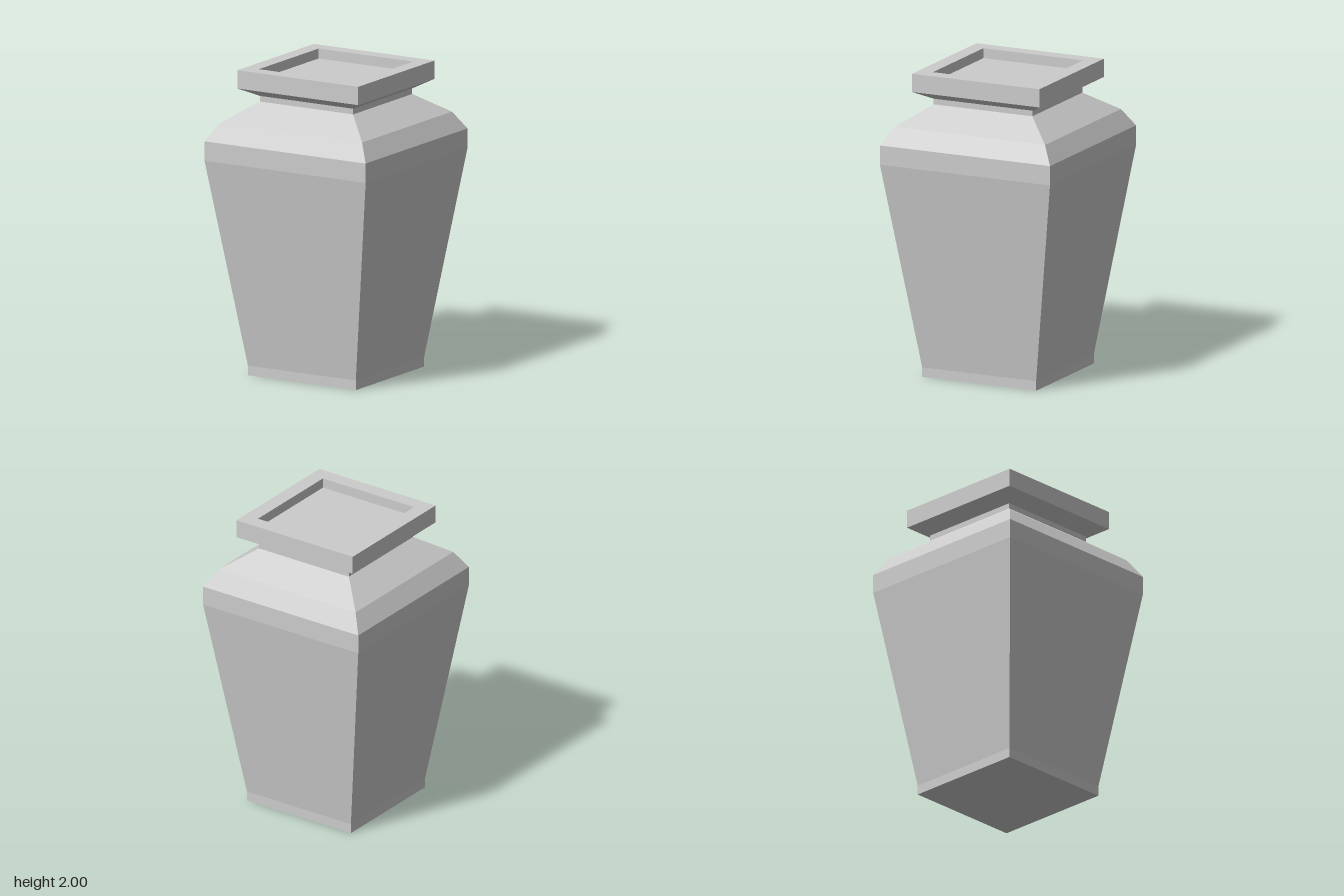
import * as THREE from 'three';

// Square section: a four-sided lathe turned so its corners lie on the diagonals.
// Profile points are [half width, height], running bottom to top on the outside.
function squareLathe(name, profile, material) {
  const points = profile.map(([half, y]) => new THREE.Vector2(half * Math.SQRT2, y));
  const mesh = new THREE.Mesh(new THREE.LatheGeometry(points, 4, Math.PI / 4), material);
  mesh.name = name;
  return mesh;
}

export function createModel() {
  const material = new THREE.MeshStandardMaterial({ color: 0xcccccc, flatShading: true });
  const group = new THREE.Group();
  group.name = 'squareVase';

  group.add(
    // closed underside and short upright foot
    squareLathe('foot', [[0, 0], [0.408, 0], [0.408, 0.063]], material),
    // body flaring up to an upright band
    squareLathe('body', [[0.408, 0.063], [0.609, 1.418], [0.609, 1.545]], material),
    // two sloped shoulder facets
    squareLathe('shoulder', [[0.609, 1.545], [0.537, 1.66], [0.353, 1.788]], material),
    squareLathe('neck', [[0.353, 1.788], [0.353, 1.825]], material),
    // overhanging lip with a flat top
    squareLathe('rim', [[0.353, 1.825], [0.456, 1.88], [0.456, 2], [0.357, 2]], material),
    // shallow recess closed by a flat floor
    squareLathe('recess', [[0.357, 2], [0.357, 1.935], [0, 1.935]], material),
  );
  return group;
}
